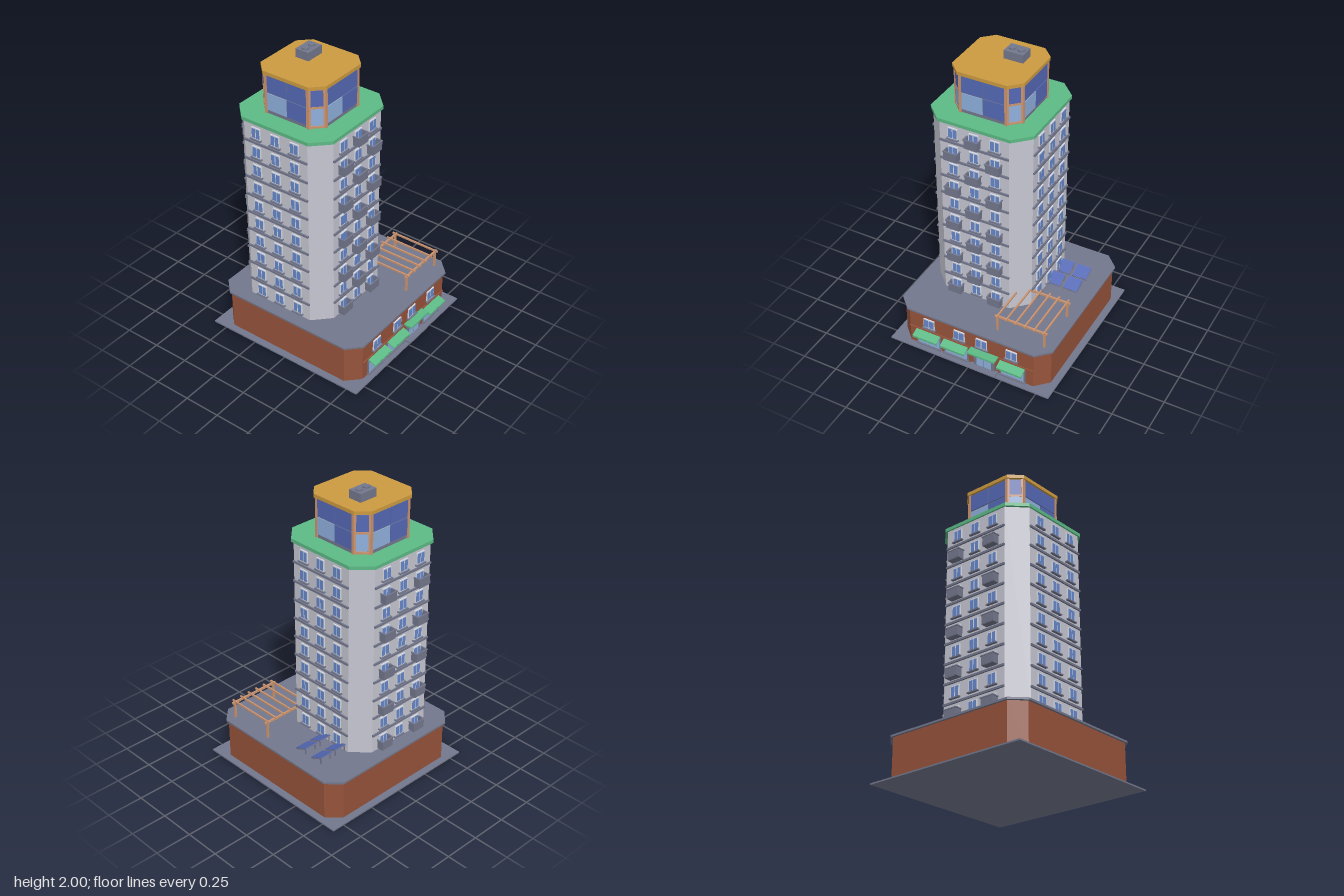
import * as THREE from 'three';

const mat = (name, color) => Object.assign(new THREE.MeshStandardMaterial({ color }), { name });
const M = {
  slate: mat('slate', 0x73778c), wall: mat('pale wall', 0xc6c6d2), brick: mat('brick', 0x96533b),
  green: mat('green trim', 0x5cba85), gold: mat('gold roof', 0xcc9a40), wood: mat('timber', 0xcb9470),
  blue: mat('deep blue glass', 0x5569b6), light: mat('light glass', 0x8fb0dd),
  pane: mat('window glass', 0x6688cc), frame: mat('white frame', 0xdcdfe8),
};
const CX = -0.12, CZ = -0.117; // tower centre
const BZ = -0.01;              // podium centre

function add(parent, name, geo, material, x = 0, y = 0, z = 0) {
  const m = new THREE.Mesh(geo, material);
  m.name = name;
  m.position.set(x, y, z);
  parent.add(m);
  return m;
}
const box = (p, name, material, w, h, d, x, y, z) =>
  add(p, name, new THREE.BoxGeometry(w, h, d), material, x, y, z);

function group(parent, name, x = 0, y = 0, z = 0, turn = 0) {
  const g = new THREE.Group();
  g.name = name;
  g.position.set(x, y, z);
  g.rotation.y = turn;
  parent.add(g);
  return g;
}

// Square prism with chamfered corners, from y0 to y1
function chamferedBlock(p, name, material, half, cut, y0, y1, x, z) {
  const a = half, b = half - cut;
  const shape = new THREE.Shape([[b, -a], [a, -b], [a, b], [b, a], [-b, a], [-a, b], [-a, -b], [-b, -a]]
    .map(([u, v]) => new THREE.Vector2(u, v)));
  const geo = new THREE.ExtrudeGeometry(shape, { depth: y1 - y0, bevelEnabled: false });
  geo.rotateX(-Math.PI / 2);
  return add(p, name, geo, material, x, y0, z);
}

// Two-pane window with a sill; the wall is at local z = 0
function addWindow(p, x, y, w = 0.066, h = 0.078) {
  const g = group(p, 'window', x, y, 0);
  box(g, 'windowFrame', M.frame, w, h, 0.012, 0, 0, 0.002);
  for (const s of [-1, 1])
    box(g, 'windowPane', M.pane, w / 2 - 0.008, h - 0.014, 0.004, s * (w / 4 - 0.0005), 0, 0.008);
  box(g, 'windowSill', M.slate, w + 0.018, 0.008, 0.02, 0, -h / 2 - 0.003, 0.008);
}

// Open-topped balcony
function addBalcony(p, x, y) {
  const g = group(p, 'balcony', x, y, 0);
  box(g, 'balconyFloor', M.slate, 0.092, 0.008, 0.046, 0, -0.028, 0.023);
  box(g, 'balconyFront', M.slate, 0.092, 0.056, 0.005, 0, 0, 0.0455);
  box(g, 'balconyRail', M.slate, 0.102, 0.007, 0.01, 0, 0.03, 0.046);
  for (const s of [-1, 1]) {
    box(g, 'balconySide', M.slate, 0.005, 0.056, 0.046, s * 0.0435, 0, 0.023);
    box(g, 'balconySideRail', M.slate, 0.009, 0.007, 0.046, s * 0.0465, 0.03, 0.023);
  }
}

function buildPodium(root) {
  const g = group(root, 'podium');
  box(g, 'groundSlab', M.slate, 1.18, 0.01, 1.18, 0, 0.005, BZ);
  chamferedBlock(g, 'brickBase', M.brick, 0.543, 0.085, 0.01, 0.284, 0, BZ);
  chamferedBlock(g, 'baseRoof', M.slate, 0.557, 0.09, 0.284, 0.297, 0, BZ);

  const f = group(g, 'shopFront', 0, 0, BZ + 0.543);
  box(f, 'brickBand', M.brick, 0.916, 0.009, 0.012, 0, 0.145, 0.003);
  for (const x of [-0.31, -0.083, 0.083, 0.302]) addWindow(f, x, 0.214, 0.08, 0.074);
  // Shop windows under sloping awnings
  for (const x of [-0.316, -0.107, 0.312]) {
    box(f, 'shopFrame', M.slate, 0.18, 0.1, 0.012, x, 0.07, 0.002);
    box(f, 'shopGlass', M.light, 0.164, 0.084, 0.004, x, 0.07, 0.008);
    box(f, 'shopSill', M.slate, 0.188, 0.008, 0.022, x, 0.021, 0.008);
    const awning = box(f, 'awning', M.green, 0.182, 0.007, 0.066, x, 0.13, 0.031);
    awning.rotation.x = 0.38;
    box(f, 'awningValance', M.green, 0.182, 0.012, 0.004, x, 0.112, 0.06);
  }
  // Entrance
  box(f, 'doorFrame', M.slate, 0.152, 0.125, 0.016, 0.104, 0.073, 0.004);
  for (const s of [-1, 1])
    box(f, 'doorGlass', M.light, 0.05, 0.09, 0.004, 0.104 + s * 0.028, 0.07, 0.013);
  box(f, 'doorStep', M.slate, 0.2, 0.01, 0.056, 0.104, 0.015, 0.028);
  box(f, 'entranceCanopy', M.green, 0.202, 0.013, 0.06, 0.104, 0.147, 0.03);
}

function buildTower(root) {
  const g = group(root, 'tower');
  chamferedBlock(g, 'towerWalls', M.wall, 0.349, 0.109, 0.297, 1.622, CX, CZ);
  chamferedBlock(g, 'greenRoof', M.green, 0.359, 0.107, 1.622, 1.645, CX, CZ);
  for (let k = 0; k < 4; k++) {
    const turn = k * Math.PI / 2;
    const face = group(g, 'towerFace', CX + Math.sin(turn) * 0.349, 0, CZ + Math.cos(turn) * 0.349, turn);
    for (let i = 0; i < 10; i++) {
      const y = 0.36 + i * 0.1333;
      if (i < 9) box(face, 'floorLedge', M.slate, 0.482, 0.014, 0.016, 0, y + 0.065, 0.002);
      for (const c of [-1, 0, 1]) {
        addWindow(face, c * 0.146, y);
        const odd = i % 2 === 1;
        if ((k === 0 && odd === (c === 0)) || (k === 2 && !odd && c !== 0))
          addBalcony(face, c * 0.146, y - 0.019);
      }
    }
  }
}

function buildPenthouse(root) {
  const g = group(root, 'penthouse');
  chamferedBlock(g, 'penthouseFrame', M.slate, 0.232, 0.073, 1.645, 1.91, CX, CZ);
  chamferedBlock(g, 'goldRoof', M.gold, 0.246, 0.076, 1.91, 1.934, CX, CZ);
  for (let k = 0; k < 4; k++) {
    const turn = k * Math.PI / 2;
    const side = group(g, 'glassSide', CX + Math.sin(turn) * 0.232, 0, CZ + Math.cos(turn) * 0.232, turn);
    for (const s of [-1, 1]) {
      box(side, 'upperGlass', M.blue, 0.144, 0.112, 0.006, s * 0.075, 1.848, 0.002);
      box(side, 'lowerGlass', s < 0 ? M.light : M.blue, 0.144, 0.114, 0.006, s * 0.075, 1.727, 0.002);
      box(side, 'cornerPost', M.wood, 0.016, 0.265, 0.016, s * 0.157, 1.7775, 0);
    }
    // Chamfered corner with timber frame
    const t = turn + Math.PI / 4, r = (0.232 + 0.159) / Math.SQRT2;
    const corner = group(g, 'glassCorner', CX + Math.sin(t) * r, 0, CZ + Math.cos(t) * r, t);
    box(corner, 'cornerUpperGlass', M.blue, 0.076, 0.11, 0.006, 0, 1.848, 0.002);
    box(corner, 'cornerLowerGlass', M.light, 0.076, 0.116, 0.006, 0, 1.723, 0.002);
    for (const y of [1.655, 1.787])
      box(corner, 'cornerBar', M.wood, 0.09, 0.014, 0.012, 0, y, 0.001);
    for (const s of [-1, 1])
      box(corner, 'cornerJamb', M.wood, 0.012, 0.265, 0.012, s * 0.043, 1.7775, 0.001);
  }
  // Rooftop vent unit
  box(g, 'ventBox', M.slate, 0.132, 0.056, 0.098, -0.051, 1.962, -0.186);
  for (const x of [-0.081, -0.021])
    add(g, 'ventFan', new THREE.CylinderGeometry(0.023, 0.023, 0.012, 20), M.slate, x, 1.994, -0.186);
}

function buildTerrace(root) {
  // Tilted solar panels on legs
  for (const x of [0.27, 0.395]) for (const z of [-0.293, -0.153]) {
    const g = group(root, 'solarPanel', x, 0.326, z);
    const tilt = group(g, 'panelTilt');
    tilt.rotation.x = 0.4;
    box(tilt, 'panelBack', M.slate, 0.106, 0.006, 0.1, 0, 0, 0);
    box(tilt, 'panelCells', M.blue, 0.1, 0.004, 0.094, 0, 0.004, 0);
    for (const s of [-1, 1]) {
      box(g, 'rearLeg', M.slate, 0.007, 0.042, 0.007, s * 0.04, -0.009, -0.033);
      box(g, 'frontLeg', M.slate, 0.007, 0.016, 0.007, s * 0.04, -0.022, 0.033);
    }
  }
  // Pergola
  const p = group(root, 'pergola');
  for (const z of [0.12, 0.443]) {
    box(p, 'pergolaBeam', M.wood, 0.374, 0.014, 0.012, 0.321, 0.411, z);
    for (const x of [0.152, 0.488])
      box(p, 'pergolaPost', M.wood, 0.014, 0.11, 0.014, x, 0.351, z);
  }
  for (let i = 0; i < 6; i++)
    box(p, 'pergolaRafter', M.wood, 0.01, 0.012, 0.366, 0.154 + i * 0.0667, 0.42, 0.282);
}

export function createModel() {
  const root = new THREE.Group();
  root.name = 'apartmentTower';
  buildPodium(root);
  buildTower(root);
  buildPenthouse(root);
  buildTerrace(root);
  return root;
}
